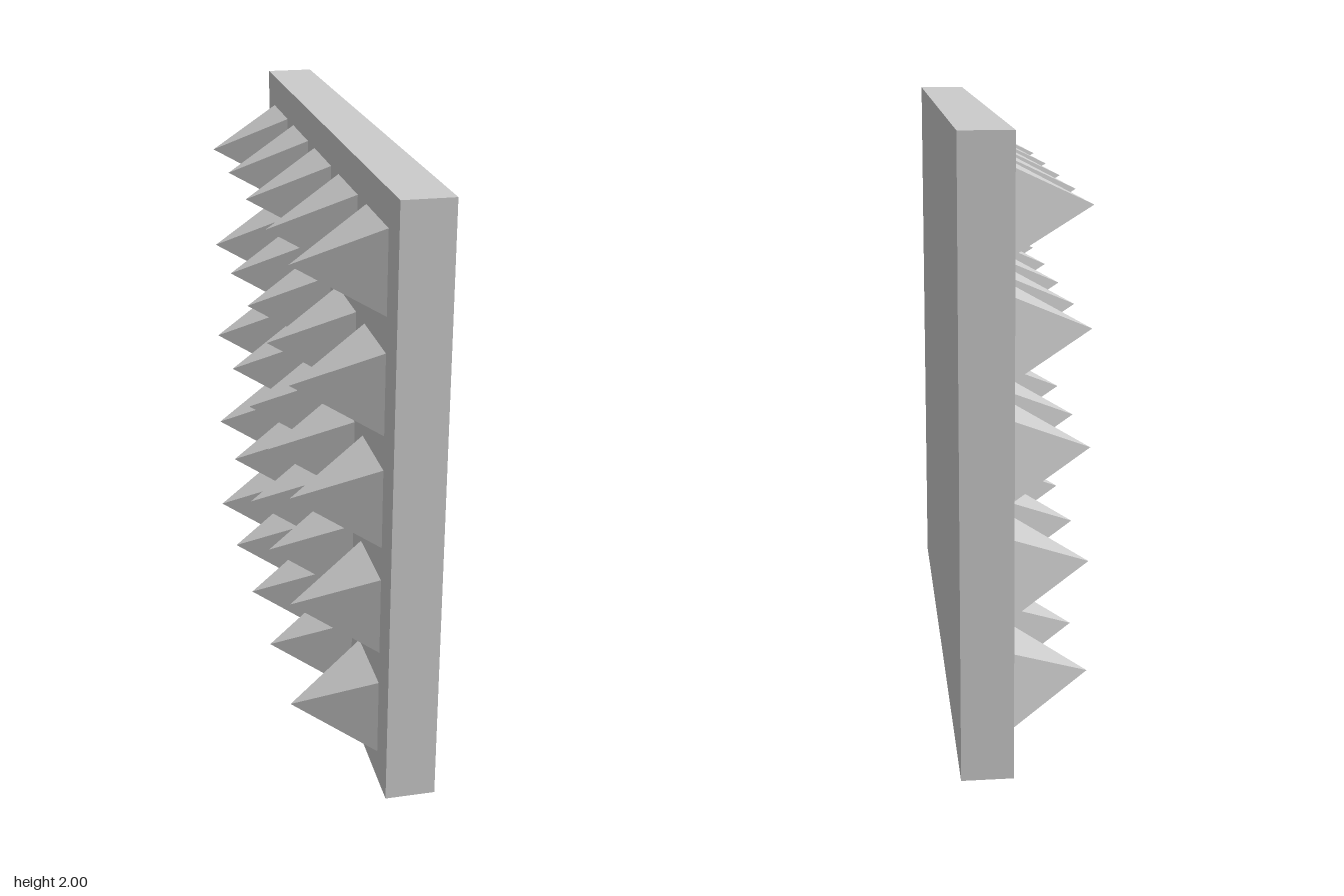
import * as THREE from 'three';

export function createModel() {
  const group = new THREE.Group();
  const material = new THREE.MeshStandardMaterial({ color: 0xcccccc, flatShading: true });

  // Square backing plate
  const plateFace = 0.05, plateBack = 0.215;
  const plate = new THREE.Mesh(new THREE.BoxGeometry(plateBack - plateFace, 2, 2), material);
  plate.name = 'plate';
  plate.position.set((plateFace + plateBack) / 2, 1, 0);
  group.add(plate);

  // Square pyramid with its base on the plate and its tip towards -x
  const halfBase = 0.133, height = 0.265;
  const pyramid = new THREE.ConeGeometry(halfBase * Math.SQRT2, height, 4, 1, true);
  pyramid.rotateY(Math.PI / 4);
  pyramid.rotateZ(Math.PI / 2);

  // Five by five grid of spikes
  const spikes = new THREE.Group();
  spikes.name = 'spikes';
  for (let row = -2; row <= 2; row++) {
    for (let col = -2; col <= 2; col++) {
      const spike = new THREE.Mesh(pyramid, material);
      spike.name = 'spike';
      spike.position.set(plateFace - height / 2, 0.995 + row * 0.38, col * 0.375);
      spikes.add(spike);
    }
  }
  group.add(spikes);

  return group;
}
